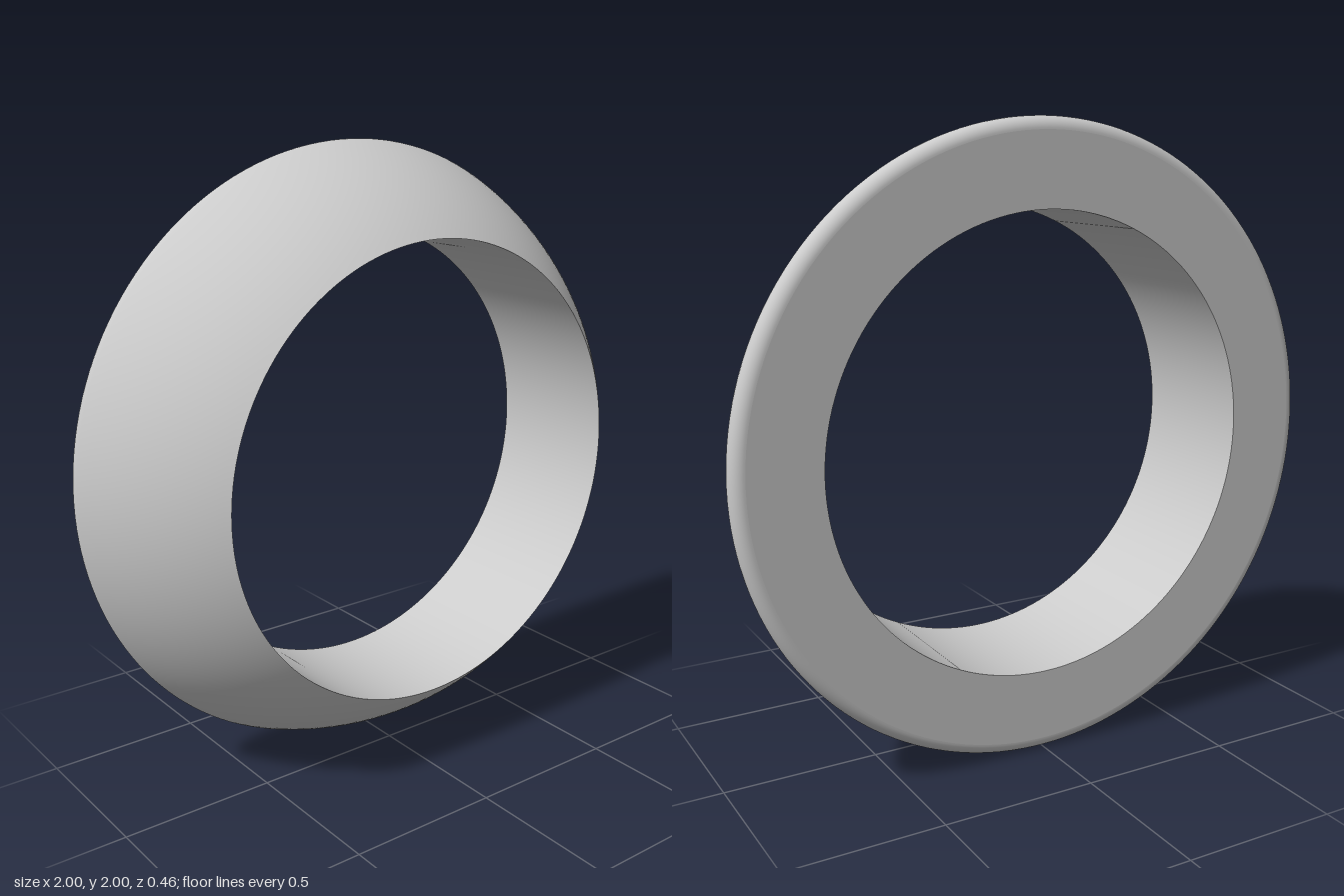
import * as THREE from 'three';

const BORE = 0.73;      // radius of the hole
const HALF = 0.232;     // half depth along z
const FILLET = 0.04;    // rounding of the back outer edge
const DOME_Z = -0.538;  // centre of the spherical outer surface, on the axis

// Revolve a (radius, z) profile around the z axis
function revolve(name, points, material) {
  const geometry = new THREE.LatheGeometry(points, 160);
  geometry.rotateX(Math.PI / 2);
  const mesh = new THREE.Mesh(geometry, material);
  mesh.name = name;
  return mesh;
}

// Points of a circular arc in the (radius, z) plane
function arc(cx, cy, r, from, to, steps) {
  return Array.from({ length: steps + 1 }, (_, i) => {
    const a = from + (to - from) * i / steps;
    return new THREE.Vector2(cx + r * Math.cos(a), cy + r * Math.sin(a));
  });
}

export function createModel() {
  const group = new THREE.Group();
  group.name = 'domedRing';
  const material = new THREE.MeshStandardMaterial({ color: 0xcccccc });

  const filletR = 1 - FILLET, filletZ = -HALF + FILLET;
  const domeRadius = Math.hypot(BORE, HALF - DOME_Z);
  const joinAngle = Math.atan2(filletZ - DOME_Z, filletR);
  const frontAngle = Math.atan2(HALF - DOME_Z, BORE);

  // Rounded back edge running smoothly into the spherical outer surface
  const outer = [
    ...arc(filletR, filletZ, FILLET, -Math.PI / 2, joinAngle, 14),
    ...arc(0, DOME_Z, domeRadius, joinAngle, frontAngle, 20).slice(1),
  ];
  group.add(revolve('outerDome', outer, material));

  // Flat back face
  group.add(revolve('backFace', [
    new THREE.Vector2(BORE, -HALF), new THREE.Vector2(filletR, -HALF),
  ], material));

  // Straight bore, facing the axis
  group.add(revolve('bore', [
    new THREE.Vector2(BORE, HALF), new THREE.Vector2(BORE, -HALF),
  ], material));

  group.position.y = 1;
  return group;
}
